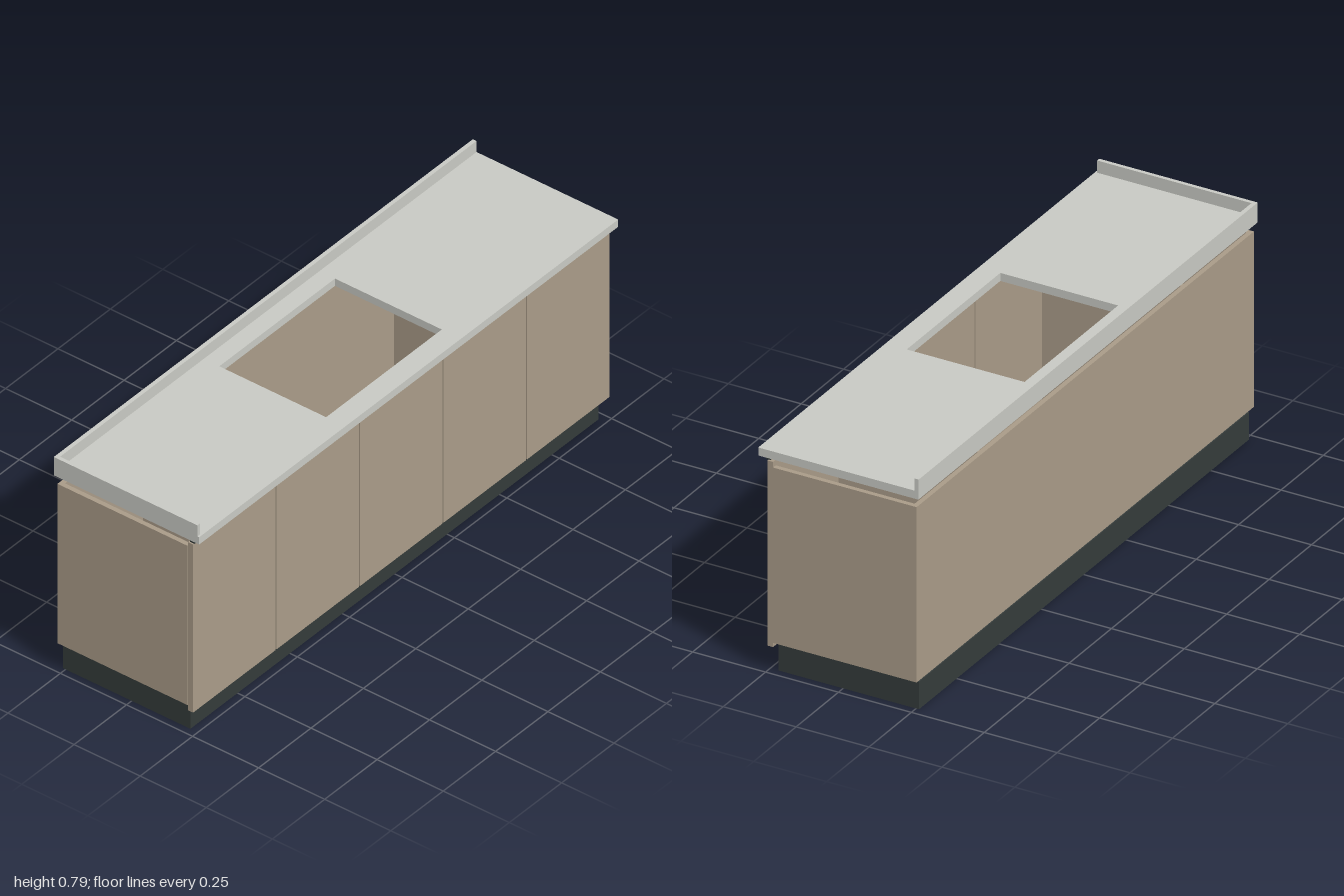
import * as THREE from 'three';

export function createModel() {
  const model = new THREE.Group();
  model.name = 'kitchenBaseUnit';

  const mat = (name, color) => {
    const m = new THREE.MeshStandardMaterial({ color });
    m.name = name;
    return m;
  };
  const wood = mat('taupe front', 0xa99b88);
  const stone = mat('pale grey worktop', 0xc8c9c3);
  const dark = mat('dark plinth', 0x343b3a);

  // Box given by its minimum and maximum on each axis
  const box = (name, material, [x0, x1], [y0, y1], [z0, z1]) => {
    const mesh = new THREE.Mesh(new THREE.BoxGeometry(x1 - x0, y1 - y0, z1 - z0), material);
    mesh.position.set((x0 + x1) / 2, (y0 + y1) / 2, (z0 + z1) / 2);
    mesh.name = name;
    model.add(mesh);
  };

  // Recessed plinth
  box('plinth', dark, [-0.975, 0.972], [0, 0.092], [-0.26, 0.222]);

  // Open-topped carcass, closed at the front by the doors
  const H = [0.102, 0.693], t = 0.016, X = 0.995;
  box('carcassBottom', wood, [-X + t, X - t], [H[0], H[0] + t], [-0.265 + t, 0.227]);
  box('carcassBack', wood, [-X + t, X - t], H, [-0.265, -0.265 + t]);
  box('carcassSideRight', wood, [-X, -X + t], H, [-0.265, 0.227]);
  box('carcassSideLeft', wood, [X - t, X], H, [-0.265, 0.227]);
  for (const x of [-0.6, 0.6]) {
    box('partition', wood, [x - t / 2, x + t / 2], [H[0] + t, H[1]], [-0.265 + t, 0.227]);
  }

  // Five doors, each with a dark grip rail above it
  for (let i = 0; i < 5; i++) {
    const span = [-0.996 + i * 0.3985, -0.996 + i * 0.3985 + 0.3925];
    box('door', wood, span, [0.085, 0.709], [0.23, 0.249]);
    box('gripRail', dark, span, [0.713, 0.723], [0.238, 0.254]);
  }

  // Worktop in sections around the rectangular cutout
  const Y = [0.723, 0.75];
  box('worktopRight', stone, [-1, -0.302], Y, [-0.274, 0.275]);
  box('worktopLeft', stone, [0.25, 1], Y, [-0.274, 0.275]);
  box('worktopFrontStrip', stone, [-0.302, 0.25], Y, [0.202, 0.275]);
  box('worktopBackStrip', stone, [-0.302, 0.25], Y, [-0.274, -0.202]);

  // Upstands along the back and one end
  box('backUpstand', stone, [-1, 1], [0.75, 0.791], [-0.275, -0.261]);
  box('endUpstand', stone, [-1, -0.987], [0.75, 0.791], [-0.261, 0.268]);

  return model;
}
